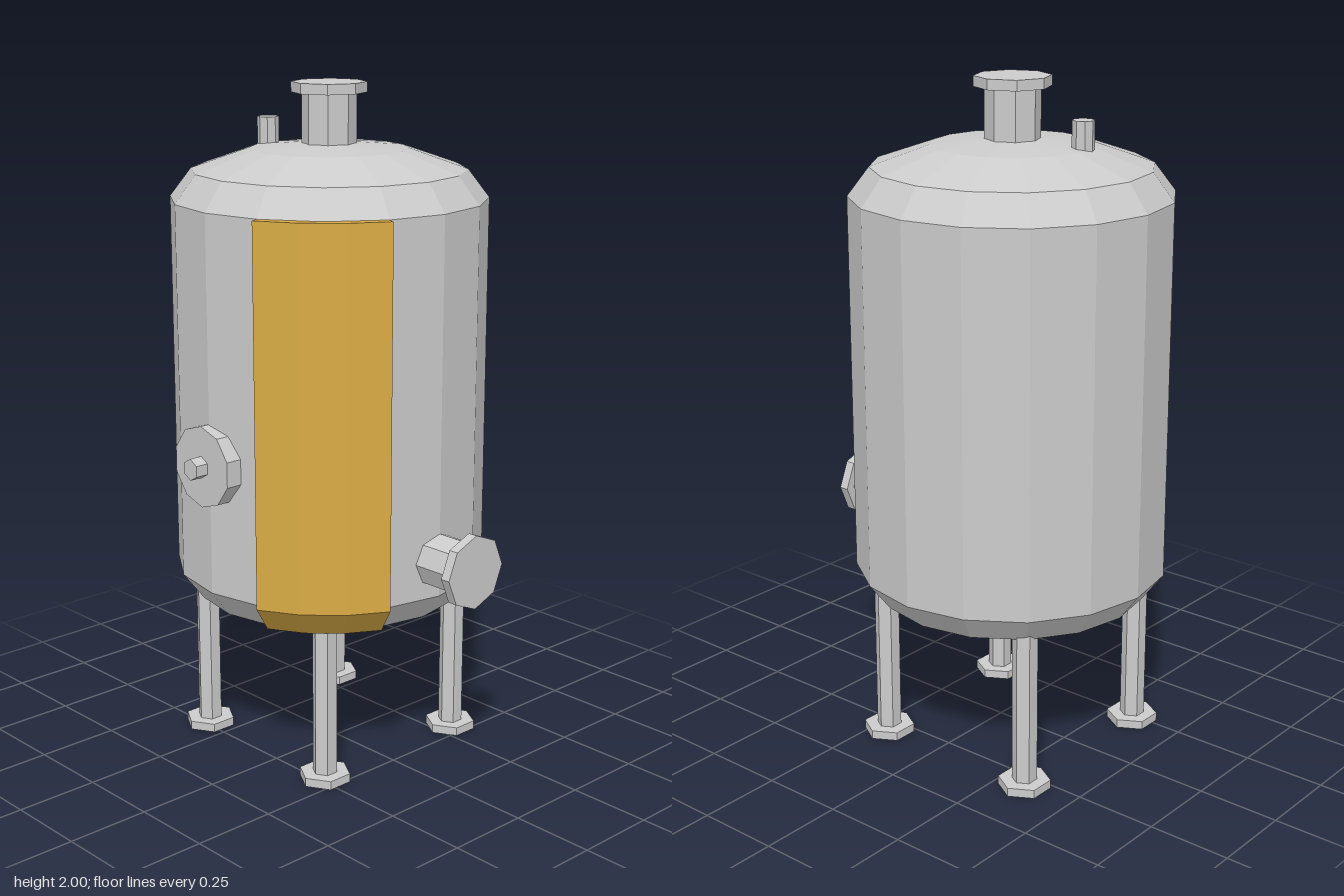
import * as THREE from 'three';

const steel = new THREE.MeshStandardMaterial({ color: 0xcccccc, flatShading: true });
const gold = new THREE.MeshStandardMaterial({ color: 0xd9ab45, flatShading: true, side: THREE.DoubleSide });

const BOTTOM = 0.56, TOP = 1.67, DOME = 0.163, RADIUS = 0.465;
const CX = -0.07, CZ = -0.035; // tank axis

// Elliptical dome rings, from the shell edge to the pole
const dome = (radius, y, dir) => [0, 30, 60, 90].map((deg) => {
  const a = THREE.MathUtils.degToRad(deg);
  return new THREE.Vector2(deg === 90 ? 0 : radius * Math.cos(a), y + dir * DOME * Math.sin(a));
});

function add(parent, name, geometry, material = steel) {
  const mesh = new THREE.Mesh(geometry, material);
  mesh.name = name;
  parent.add(mesh);
  return mesh;
}

// Faceted rod standing from y0 to y1
function rod(parent, name, radius, y0, y1, sides) {
  const mesh = add(parent, name, new THREE.CylinderGeometry(radius, radius, y1 - y0, sides));
  mesh.position.y = (y0 + y1) / 2;
  return mesh;
}

function group(parent, name, x, y, z) {
  const g = new THREE.Group();
  g.name = name;
  g.position.set(x, y, z);
  parent.add(g);
  return g;
}

// Octagonal pipe with an end flange, pointing up
function nozzle(parent, name, x, y, z, length) {
  const g = group(parent, name, x, y, z);
  rod(g, 'pipe', 0.08, 0, length - 0.03, 8);
  rod(g, 'flange', 0.11, length - 0.03, length, 8);
  return g;
}

export function createModel() {
  const model = new THREE.Group();
  model.name = 'storageTank';
  const tank = group(model, 'tank', CX, 0, CZ);

  // Shell with domed ends
  const shell = [...dome(RADIUS, BOTTOM, -1).reverse(), ...dome(RADIUS, TOP, 1)];
  add(tank, 'shell', new THREE.LatheGeometry(shell, 16));

  // Raised coloured panel: a closed section swept through an eighth turn
  const section = [
    ...dome(0.495, BOTTOM, -1).reverse(),
    new THREE.Vector2(0.495, TOP),
    new THREE.Vector2(0.44, TOP),
    new THREE.Vector2(0.44, BOTTOM),
    new THREE.Vector2(0, BOTTOM - DOME),
  ];
  const panel = group(tank, 'panel', 0, 0, 0);
  const start = Math.PI / 8, sweep = Math.PI / 4;
  add(panel, 'panelSkin', new THREE.LatheGeometry(section, 3, start, sweep), gold);
  for (const phi of [start, start + sweep]) {
    const edge = add(panel, 'panelEdge', new THREE.ShapeGeometry(new THREE.Shape(section.slice(0, -1))), gold);
    edge.rotation.y = phi - Math.PI / 2;
  }

  // Nozzles on the top and the left side
  nozzle(tank, 'topNozzle', 0, 1.75, 0, 0.25);
  nozzle(tank, 'sideNozzle', 0.4, 0.67, 0, 0.207).rotation.z = -Math.PI / 2;

  // Small vent on the top dome
  const vent = group(model, 'vent', -0.275, 0, 0.02);
  rod(vent, 'ventPipe', 0.032, 1.75, 1.89, 8);

  // Round front hatch with a hexagonal knob
  const hatch = group(model, 'hatch', CX - 0.003, 0.948, 0);
  hatch.rotation.x = Math.PI / 2;
  rod(hatch, 'hatchCover', 0.12, 0.38, 0.458, 10);
  rod(hatch, 'hatchKnob', 0.032, 0.45, 0.498, 6);

  // Four hexagonal legs on foot pads
  for (const sx of [-1, 1]) for (const sz of [-1, 1]) {
    const leg = group(tank, 'leg', sx * 0.267, 0, sz * 0.267);
    rod(leg, 'post', 0.037, 0.02, 0.52, 6);
    rod(leg, 'foot', 0.077, 0, 0.026, 6);
  }
  return model;
}
